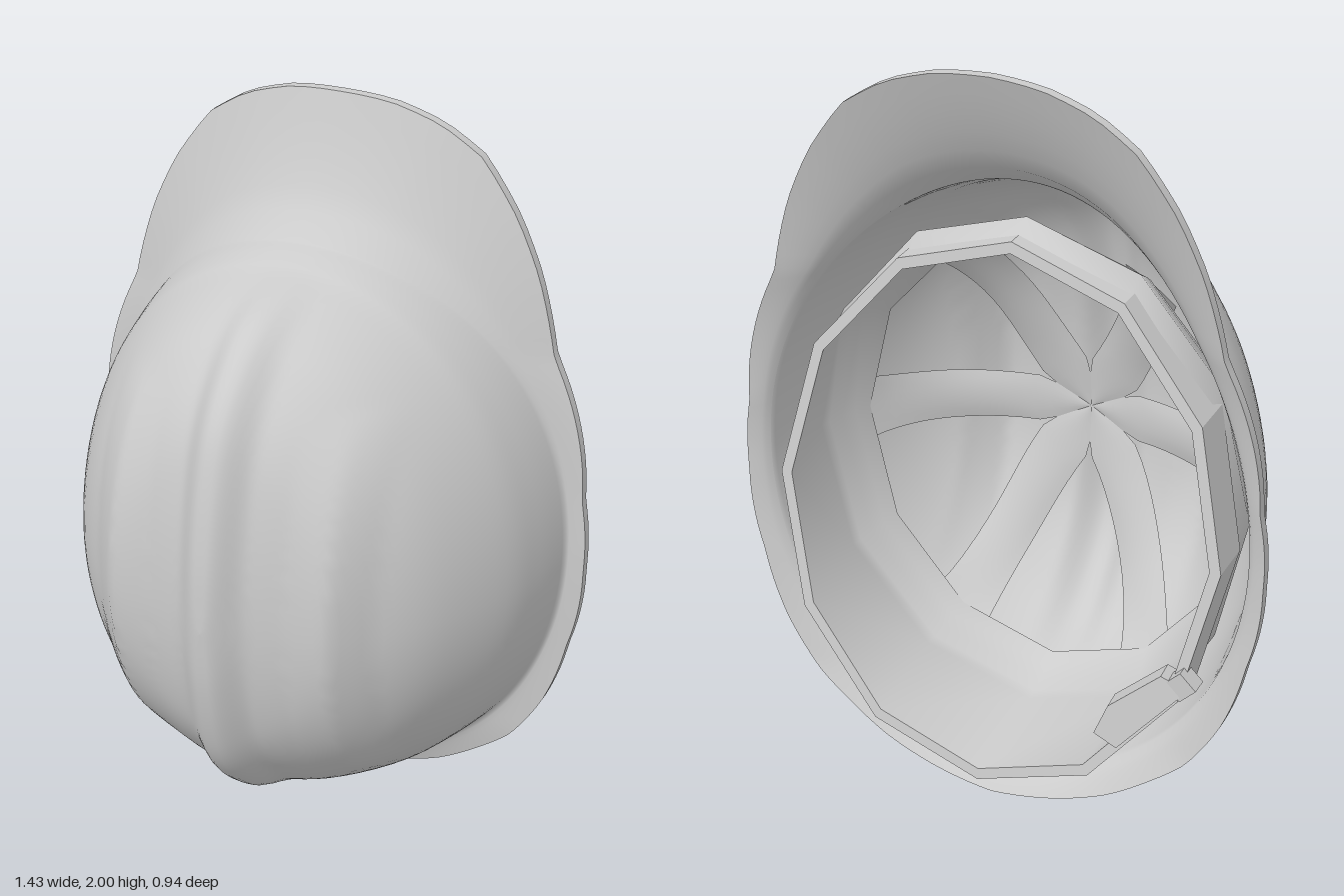
import * as THREE from 'three';

const CY = 0.85; // height of the dome's axis
const clamp = THREE.MathUtils.clamp, smooth = THREE.MathUtils.smoothstep;
const smoothMat = new THREE.MeshStandardMaterial({ color: 0xcccccc, side: THREE.DoubleSide });
const flatMat = new THREE.MeshStandardMaterial({ color: 0xcccccc, side: THREE.DoubleSide, flatShading: true });

// Cross-sections along the axis: [z, half width, top y, bottom y]
const DOME = [
  [-0.31, 0.665, 1.66, 0.065], [-0.18, 0.645, 1.645, 0.1], [-0.04, 0.61, 1.62, 0.145],
  [0.14, 0.52, 1.55, 0.23], [0.25, 0.43, 1.455, 0.33], [0.33, 0.32, 1.34, 0.435],
  [0.375, 0.22, 1.2, 0.55], [0.405, 0.1, 1.02, 0.7], [0.415, 0, CY, CY],
];
const LINER = [
  [-0.15, 0.605, 1.57, 0.15], [0, 0.54, 1.46, 0.21],
  [0.13, 0.4, 1.28, 0.4], [0.21, 0.22, 1.06, 0.64], [0.25, 0, CY, CY],
];
// Brim outline (right half, peak to nape) as angle and inverse radius, and its edge height by angle
const BRIM = [
  [0, 2], [0.14, 1.99], [0.27, 1.95], [0.38, 1.88], [0.48, 1.74], [0.545, 1.6], [0.6, 1.39],
  [0.7, 1], [0.715, 0.8], [0.68, 0.56], [0.62, 0.37], [0.53, 0.23], [0.43, 0.15], [0.32, 0.08], [0.18, 0.03], [0, 0.005],
].map(([x, y]) => [Math.atan2(x, y - CY), 1 / Math.hypot(x, y - CY)]);
const BRIM_Z = [[0, -0.322], [0.35, -0.342], [0.8, -0.325], [1.57, -0.315], [2.4, -0.325], [Math.PI, -0.36]];

function lookup(table, a) {
  let i = 1;
  while (i < table.length - 1 && table[i][0] < a) i++;
  const [p, q] = [table[i - 1], table[i]];
  return THREE.MathUtils.lerp(p[1], q[1], clamp((a - p[0]) / (q[0] - p[0]), 0, 1));
}

// Smoothly interpolated cross-section at fractional index t
function section(table, t) {
  const n = table.length - 1, i = Math.min(Math.floor(t), n - 1), f = t - i;
  const at = (k) => table[clamp(k, 0, n)];
  return table[0].map((_, c) => {
    const [a, b, d, e] = [at(i - 1)[c], at(i)[c], at(i + 1)[c], at(i + 2)[c]];
    return b + 0.5 * f * (d - a + f * (2 * a - 5 * b + 4 * d - e + f * (3 * (b - d) + e - a)));
  });
}

// Point on a shell at angle a (0 = peak side)
function shellPoint(table, t, a) {
  const [z, w, top, bottom] = section(table, t), c = Math.cos(a);
  return new THREE.Vector3(w * Math.sin(a), CY + c * (c > 0 ? top - CY : CY - bottom), z);
}

// Dome point, lifted where the peak begins, with one centre ridge and two side ridges
function domePoint(t, a) {
  const p = shellPoint(DOME, t, a), x = Math.abs(p.x);
  p.z += 0.17 * Math.max(0, Math.cos(a)) ** 3 * clamp(1 - t / 2, 0, 1);
  const fade = smooth(p.z, -0.1, 0.36);
  const centre = 0.052 * smooth(0.1 - x, 0, 0.09) * fade;
  const side = 0.035 * clamp(1 - Math.abs(x - 0.29) / 0.1, 0, 1) * clamp(1 - ((p.y - CY) / 0.55) ** 2, 0, 1);
  const out = new THREE.Vector3(p.x, p.y - CY, p.z + 0.35).normalize();
  return p.addScaledVector(out, centre + side);
}

// Joins rows of points into a surface, optionally closed around
function loft(rows, closed) {
  const n = rows[0].length, idx = [];
  for (let i = 0; i < rows.length - 1; i++) {
    for (let j = 0; j < (closed ? n : n - 1); j++) {
      const a = i * n + j, b = i * n + (j + 1) % n;
      idx.push(a, a + n, b, b, a + n, b + n);
    }
  }
  const g = new THREE.BufferGeometry().setFromPoints(rows.flat());
  g.setIndex(idx);
  g.computeVertexNormals();
  return g;
}

const ring = (n, fn) => Array.from({ length: n }, (_, j) => fn((j / n) * Math.PI * 2));
const steps = (n, fn) => Array.from({ length: n + 1 }, (_, i) => fn(i / n));

function brimEdge(a, drop) {
  const h = a > Math.PI ? 2 * Math.PI - a : a, r = 1 / lookup(BRIM, h);
  return new THREE.Vector3(r * Math.sin(a), CY + r * Math.cos(a), lookup(BRIM_Z, h) - drop);
}

// Brim surface from the dome (s = 0) out to the edge (s = 1), flaring as a curve
function brimPoint(s, a, drop) {
  const p = domePoint(0, a), e = brimEdge(a, drop);
  return new THREE.Vector3(p.x + (e.x - p.x) * s, p.y + (e.y - p.y) * s, p.z + (e.z - p.z) * s ** 0.6);
}

export function createModel() {
  const group = new THREE.Group();
  const add = (name, geometry, material = smoothMat, parent = group) => {
    const m = new THREE.Mesh(geometry, material);
    m.name = name;
    parent.add(m);
    return m;
  };
  const N = 144;

  // Outer shell: brim top and ridged dome
  add('domeShell', loft([
    ...steps(6, (s) => ring(N, (a) => brimPoint(1 - s, a, 0))),
    ...steps(40, (s) => ring(N, (a) => domePoint(s * 8, a))).slice(1),
  ], true));

  // Rim thickness and underside of the brim
  add('brimEdge', loft([ring(N, (a) => brimEdge(a, 0.028)), ring(N, (a) => brimEdge(a, 0))], true));
  add('brimUnderside', loft(steps(6, (s) => ring(N, (a) => brimPoint(s, a, 0.028))), true));

  // Headband: faceted rim, tilted so it hangs below the brim at the nape
  const bandRow = (inset, depth) => ring(12, (a) => {
    const y = 0.82 + (0.72 - inset) * Math.cos(a);
    return new THREE.Vector3((0.61 - inset) * Math.sin(a), y, -0.47 + (y - 0.1) * 0.16 + depth);
  });
  add('headband', loft([bandRow(0.03, 0), bandRow(0, 0), bandRow(0, 0.13)], true), flatMat);

  // Smooth inner wall running from the headband up to the straps
  add('innerLiner', loft([
    ...steps(4, (s) => ring(12, (a) => shellPoint(LINER, 1 - s, a))),
    bandRow(0.03, 0),
  ], true));

  // Six crown straps meeting in a hub
  const straps = new THREE.Group();
  straps.name = 'crownStraps';
  group.add(straps);
  for (let k = 0; k < 6; k++) {
    const mid = Math.PI / 2 + k * Math.PI / 3;
    add('crownStrap', loft(steps(16, (s) => {
      const t = 4 - 3 * s, r = section(LINER, t)[1];
      const width = 0.05 + 0.035 * (1 - s) + 0.03 * s ** 4;
      const spread = Math.min(Math.PI / 6, width / Math.max(r, 0.01));
      return steps(6, (u) => {
        const p = shellPoint(LINER, t, mid + (2 * u - 1) * spread);
        p.z += 0.015 * (2 * u - 1) ** 2 * Math.sin(s * Math.PI);
        return p;
      });
    }), false), smoothMat, straps);
  }

  // Adjuster buckle on the headband
  const buckle = new THREE.Group();
  buckle.name = 'buckle';
  buckle.position.set(-0.44, 0.43, -0.41);
  buckle.rotation.z = -Math.PI / 4;
  group.add(buckle);
  const plate = new THREE.Shape();
  plate.moveTo(-0.14, -0.03);
  plate.lineTo(0.12, -0.045);
  plate.lineTo(0.14, 0.02);
  plate.lineTo(0.06, 0.055);
  plate.lineTo(-0.11, 0.04);
  const body = add('bucklePlate', new THREE.ExtrudeGeometry(plate, { depth: 0.07, bevelEnabled: false }), flatMat, buckle);
  body.position.z = -0.035;
  body.rotation.y = 0.18;
  const tab = add('buckleTab', new THREE.BoxGeometry(0.06, 0.06, 0.05), flatMat, buckle);
  tab.position.set(-0.13, -0.01, 0.01);

  return group;
}
